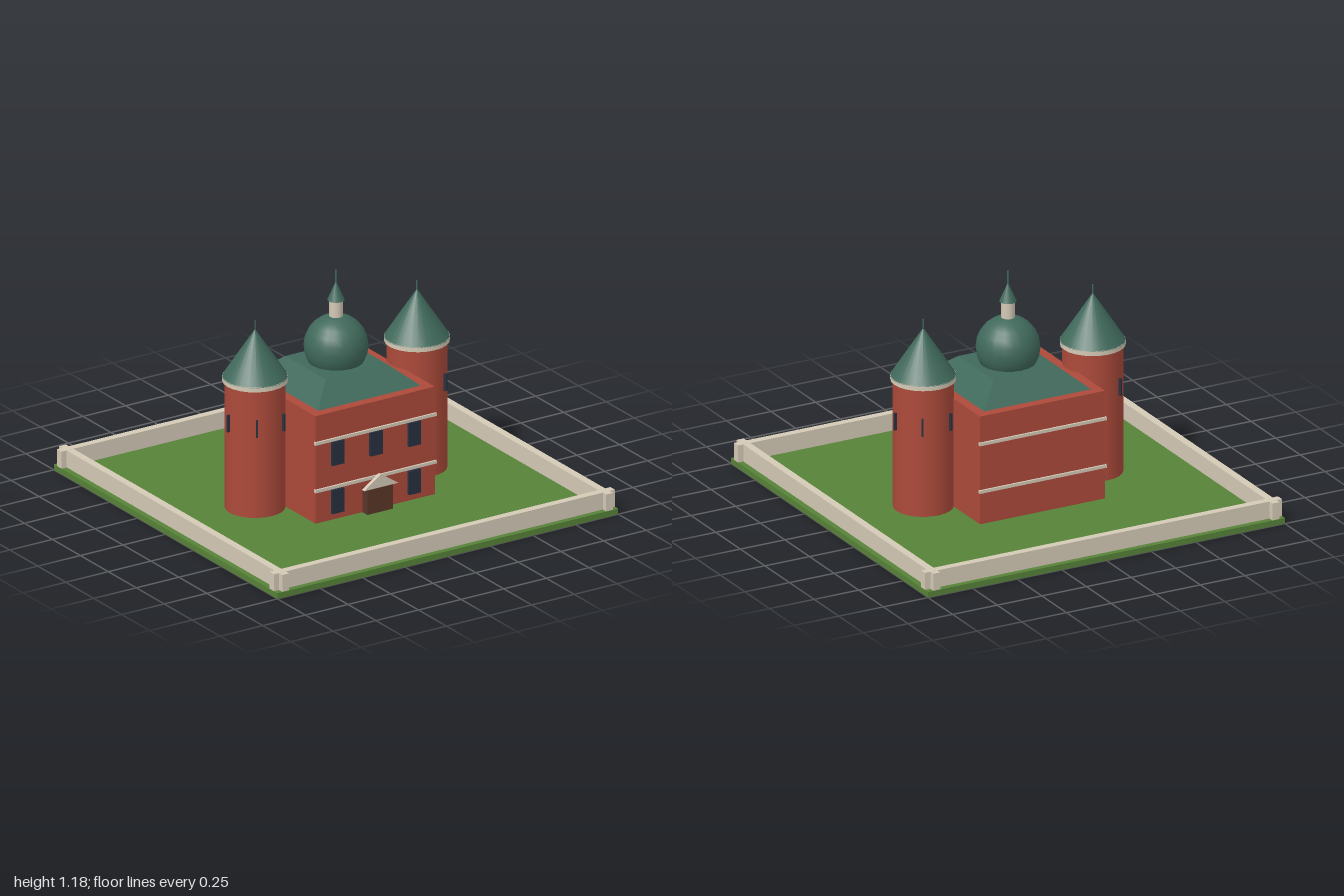
import * as THREE from 'three';

const material = (name, color) => {
  const m = new THREE.MeshStandardMaterial({ color });
  m.name = name;
  return m;
};

export function createModel() {
  const grass = material('grass green', 0x568238);
  const brick = material('red brick', 0xac4a3a);
  const copper = material('green copper', 0x40695b);
  const stone = material('cream stone', 0xd4c9b6);
  const glass = material('dark glass', 0x27303f);
  const wood = material('brown wood', 0x5a3528);

  const model = new THREE.Group();
  model.name = 'castle';

  const add = (parent, name, geometry, mat, x = 0, y = 0, z = 0) => {
    const mesh = new THREE.Mesh(geometry, mat);
    mesh.name = name;
    mesh.position.set(x, y, z);
    parent.add(mesh);
    return mesh;
  };
  // Boxes and round parts are placed by their bottom height
  const box = (parent, name, mat, w, h, d, x, y, z) =>
    add(parent, name, new THREE.BoxGeometry(w, h, d), mat, x, y + h / 2, z);
  const round = (parent, name, mat, rTop, rBottom, h, y, sides = 24) =>
    add(parent, name, new THREE.CylinderGeometry(rTop, rBottom, h, sides), mat, 0, y + h / 2, 0);

  // Lawn and the low walls that cross at its corners
  box(model, 'lawn', grass, 2, 0.03, 2, 0, 0, 0);
  for (const s of [-1, 1]) {
    box(model, 'longWall', stone, 2, 0.09, 0.04, 0, 0.03, s * 0.95);
    box(model, 'sideWall', stone, 0.04, 0.0895, 1.998, s * 0.95, 0.03, 0);
  }

  // Main block with stone bands on front and back
  box(model, 'mainBlock', brick, 0.7, 0.58, 0.7, 0, 0.02, 0);
  for (const y of [0.195, 0.447])
    for (const s of [-1, 1])
      box(model, 'stoneBand', stone, 0.71, 0.016, 0.016, 0, y, s * 0.352);

  // Front windows
  for (const [x, y] of [[-0.225, 0.32], [0, 0.32], [0.225, 0.32], [-0.225, 0.065], [0.225, 0.065]])
    box(model, 'window', glass, 0.07, 0.125, 0.02, x, y, 0.355);

  // Door with its gable
  box(model, 'door', wood, 0.15, 0.135, 0.05, 0, 0.03, 0.37);
  const gable = new THREE.Shape([
    new THREE.Vector2(-0.1, 0), new THREE.Vector2(0.1, 0), new THREE.Vector2(0, 0.068),
  ]);
  add(model, 'doorGable', new THREE.ExtrudeGeometry(gable, { depth: 0.02, bevelEnabled: false }),
    stone, 0, 0.165, 0.385);

  // Four-sided roof with a flat top
  const hip = new THREE.CylinderGeometry(0.18 * Math.SQRT2, 0.3 * Math.SQRT2, 0.1, 4)
    .rotateY(Math.PI / 4).toNonIndexed();
  hip.computeVertexNormals();
  add(model, 'hipRoof', hip, copper, 0, 0.65, 0);

  // Dome, lantern and finial
  add(model, 'dome', new THREE.SphereGeometry(0.16, 20, 12), copper, 0, 0.78, 0);
  round(model, 'lantern', stone, 0.034, 0.034, 0.09, 0.93, 16);
  round(model, 'lanternRoof', copper, 0, 0.043, 0.1, 1.02, 16);
  round(model, 'finial', copper, 0.004, 0.004, 0.08, 1.1, 8);

  // Round towers
  for (const s of [-1, 1]) {
    const tower = new THREE.Group();
    tower.name = s > 0 ? 'leftTower' : 'rightTower';
    tower.position.x = s * 0.475;
    model.add(tower);
    round(tower, 'towerWall', brick, 0.15, 0.15, 0.68, 0.02);
    round(tower, 'towerCornice', stone, 0.162, 0.162, 0.025, 0.7);
    round(tower, 'towerRoof', copper, 0, 0.163, 0.25, 0.722);
    round(tower, 'towerFinial', copper, 0.004, 0.004, 0.06, 0.955, 8);
    // Narrow windows pointing outward
    for (let i = 0; i < 6; i++) {
      const a = (i * Math.PI) / 3;
      const slit = box(tower, 'towerWindow', glass, 0.02, 0.09, 0.01,
        Math.cos(a) * 0.155, 0.46, Math.sin(a) * 0.155);
      slit.rotation.y = -a;
    }
  }
  return model;
}
